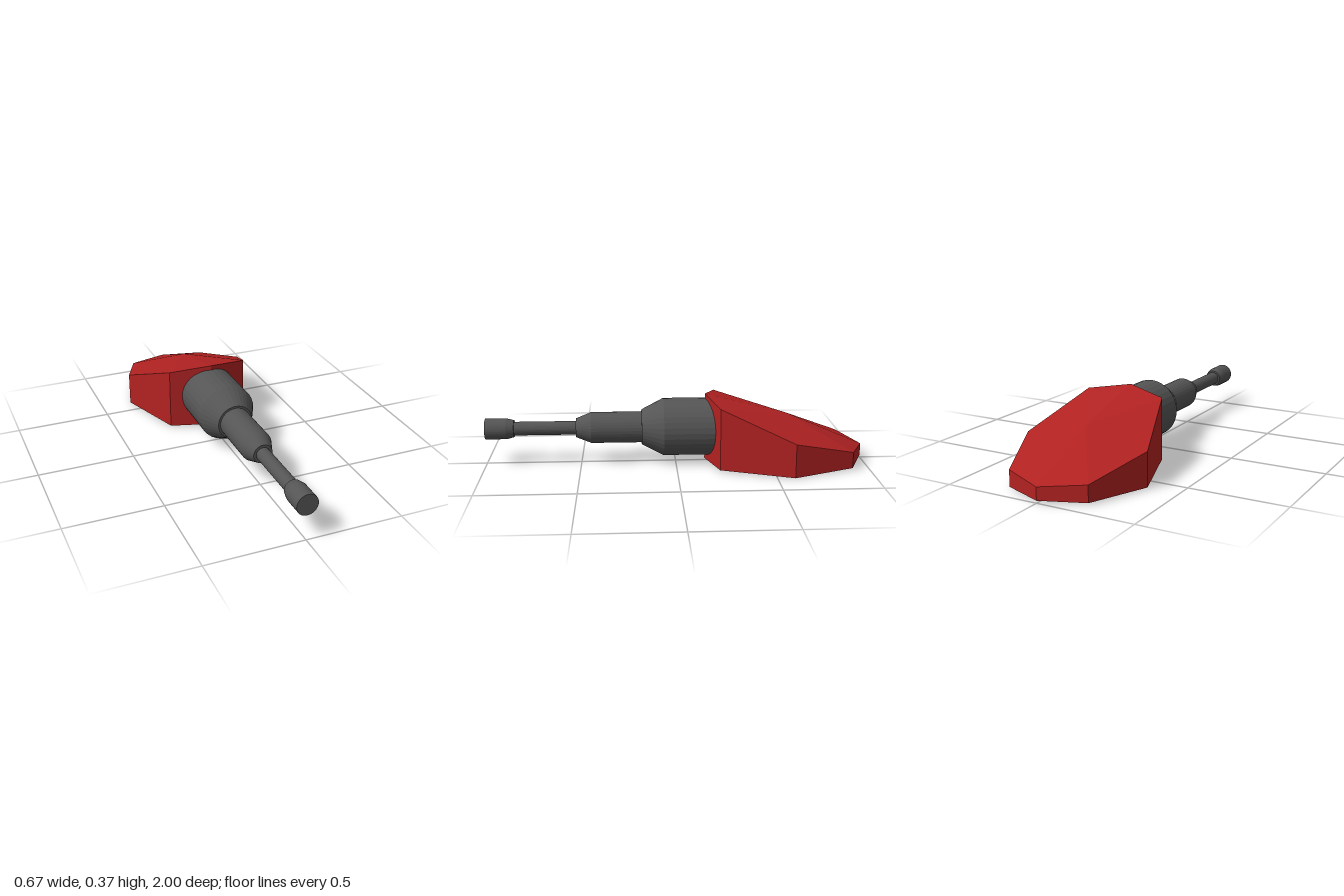
import * as THREE from 'three';

const red = new THREE.MeshStandardMaterial({ name: 'red', color: 0xb22222, flatShading: true });
const darkGrey = new THREE.MeshStandardMaterial({ name: 'darkGrey', color: 0x555555, flatShading: true });

// Eight-sided wedge: a sloping crowned top, upright sides and a shallow keel below.
function wedgeGeometry() {
  // Right half of the outline, front to back: x, z, bottom y, top y
  const half = [
    [0, -0.155, 0.01, 0.365],
    [0.215, -0.22, 0.01, 0.333],
    [0.336, -0.59, 0.002, 0.178],
    [0.215, -0.91, 0.01, 0.095],
    [0, -1, 0.012, 0.077],
  ];
  const mirrored = half.slice(1, 4).reverse().map(([x, z, b, t]) => [-x, z, b, t]);
  const ring = [...half, ...mirrored];
  const topCentre = [0, 0.255, -0.59];
  const bottomCentre = [0, 0, -0.59];
  const positions = [];
  const tri = (...corners) => corners.forEach((c) => positions.push(...c));

  ring.forEach(([x, z, b, t], i) => {
    const [x2, z2, b2, t2] = ring[(i + 1) % ring.length];
    const low = [x, b, z], high = [x, t, z], low2 = [x2, b2, z2], high2 = [x2, t2, z2];
    tri(topCentre, high, high2);
    tri(bottomCentre, low2, low);
    tri(low, low2, high2);
    tri(low, high2, high);
  });

  const geometry = new THREE.BufferGeometry();
  geometry.setAttribute('position', new THREE.Float32BufferAttribute(positions, 3));
  geometry.computeVertexNormals();
  return geometry;
}

// Turned section along z; profile pairs are radius, z from back to front.
function turned(name, profile) {
  const points = profile.map(([r, z]) => new THREE.Vector2(r, z));
  const mesh = new THREE.Mesh(new THREE.LatheGeometry(points, 32), darkGrey);
  mesh.name = name;
  mesh.rotation.x = Math.PI / 2;
  mesh.position.y = 0.188;
  return mesh;
}

export function createModel() {
  const model = new THREE.Group();
  model.name = 'barrelAndWedge';

  const wedge = new THREE.Mesh(wedgeGeometry(), red);
  wedge.name = 'wedgeHousing';

  model.add(
    wedge,
    // Wide collar tapering forward
    turned('rearCollar', [[0, -0.215], [0.152, -0.215], [0.152, 0.065], [0.093, 0.18], [0, 0.18]]),
    // Middle sleeve with its own taper
    turned('middleSleeve', [[0, 0.15], [0.082, 0.15], [0.082, 0.445], [0.05, 0.525], [0, 0.525]]),
    // Slim barrel and flared tip
    turned('slimBarrel', [[0, 0.5], [0.036, 0.5], [0.036, 0.87], [0, 0.87]]),
    turned('muzzle', [[0, 0.85], [0.045, 0.85], [0.055, 0.89], [0.055, 1], [0, 1]]),
  );
  return model;
}
